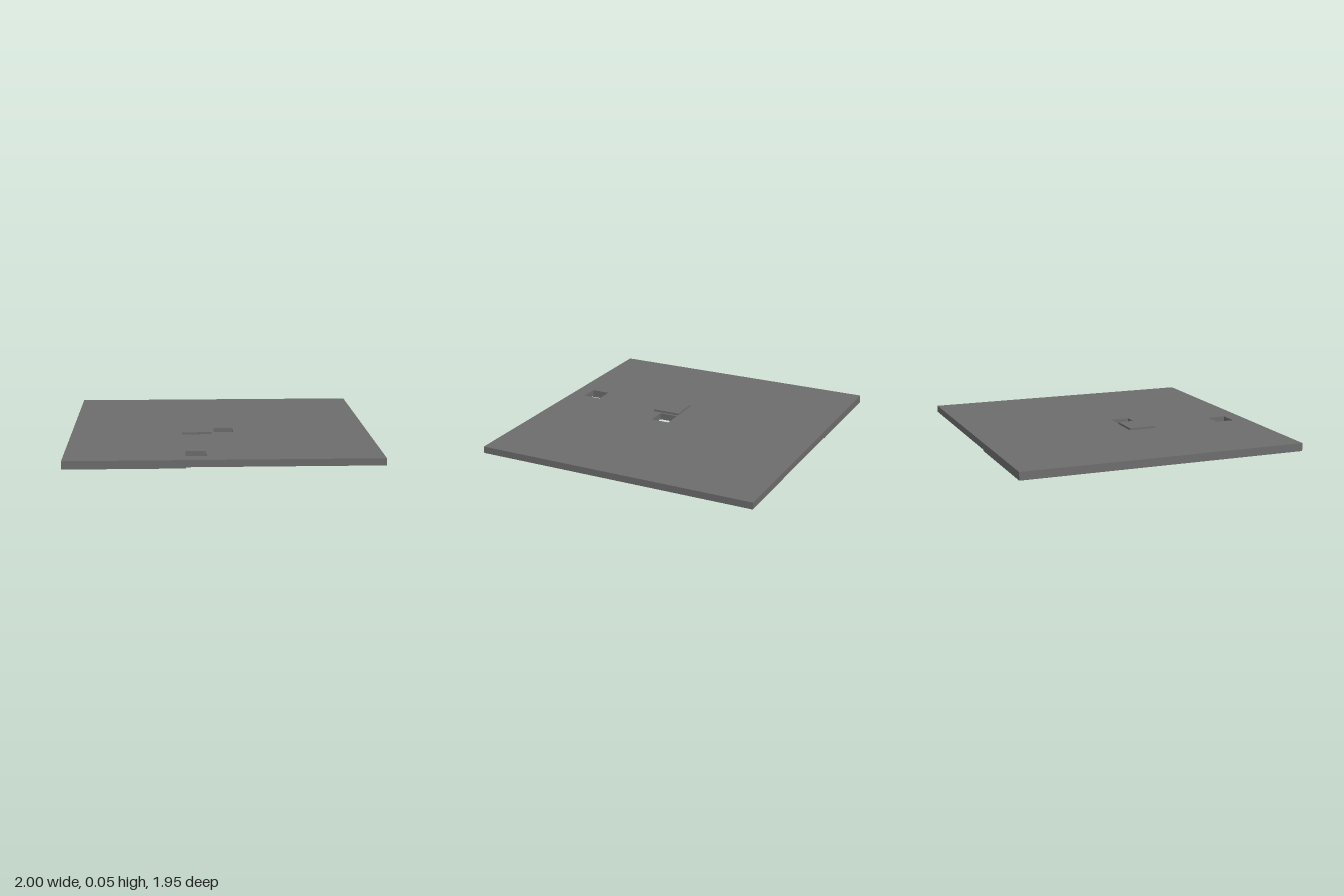
import * as THREE from 'three';

const HALF_W = 0.794, HALF_D = 0.758; // slab half sizes in its own turned frame
const SEAM = -0.19;                   // where the thicker side of the slab ends
const BASE = 0.006, TOP = 0.042;

// Flat plate between two heights, from an outline of [x, z] corners and rectangular holes
function plate(corners, holes, y0, y1) {
  const path = (points) => points.map(([x, z]) => new THREE.Vector2(x, z));
  const shape = new THREE.Shape(path(corners));
  for (const h of holes) shape.holes.push(new THREE.Path(path(rect(...h))));
  return new THREE.ExtrudeGeometry(shape, { depth: y1 - y0, bevelEnabled: false })
    .rotateX(Math.PI / 2).translate(0, y1, 0);
}

function rect(x0, x1, z0, z1) {
  return [[x0, z0], [x1, z0], [x1, z1], [x0, z1]];
}

export function createModel() {
  const model = new THREE.Group();
  const material = new THREE.MeshStandardMaterial({ color: 0x6d6d6d, flatShading: true });
  const add = (name, geometry) => {
    const mesh = new THREE.Mesh(geometry, material);
    mesh.name = name;
    model.add(mesh);
  };

  // Slab with two square through holes and the opening for the raised tile
  const tile = [-0.203, -0.046, 0.048, 0.198];
  const holes = [
    [-0.033, 0.071, 0.05, 0.152],
    [SEAM, -0.087, 0.573, 0.674],
    tile,
  ];
  add('slab', plate(rect(-HALF_W, HALF_W, -HALF_D, HALF_D), holes, BASE, TOP));

  // Thicker underside along one side, notched around the tile
  const [tileX, , tileZ0, tileZ1] = tile;
  add('undersidePanel', plate([
    [-HALF_W, -HALF_D], [SEAM, -HALF_D], [SEAM, tileZ0], [tileX, tileZ0],
    [tileX, tileZ1], [SEAM, tileZ1], [SEAM, HALF_D], [-HALF_W, HALF_D],
  ], [], 0, BASE));

  // Tile pushed up through the slab, leaving a shallow recess below
  add('raisedTile', plate(rect(...tile), [], 0.017, 0.053));

  model.rotation.y = -THREE.MathUtils.degToRad(19.25);
  return model;
}
